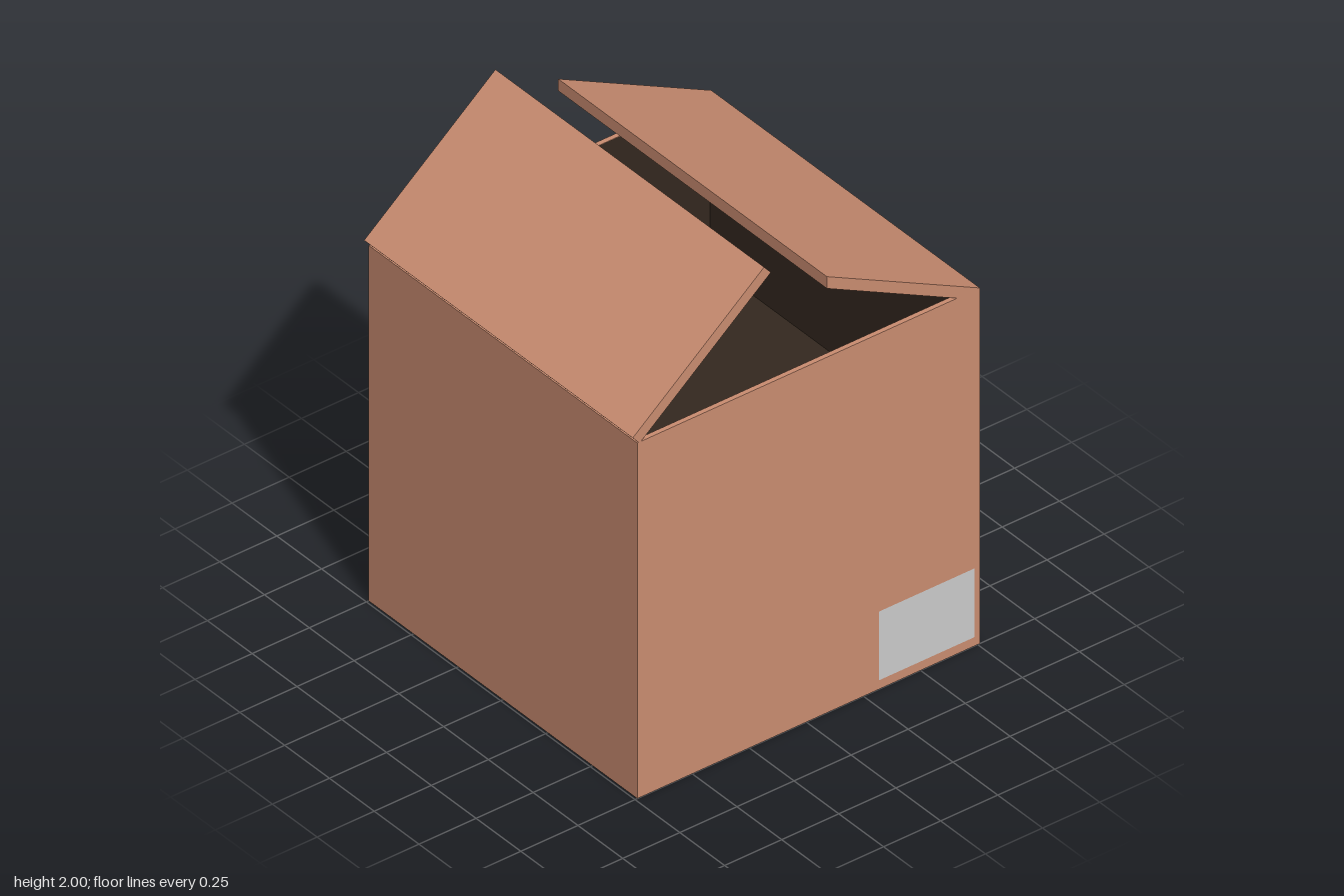
import * as THREE from 'three';

const cardboard = new THREE.MeshStandardMaterial({ color: 0xcb8d71 });
const darkInside = new THREE.MeshStandardMaterial({ color: 0x34281f, side: THREE.BackSide });
const darkPatch = new THREE.MeshStandardMaterial({ color: 0x664a40 });
const paper = new THREE.MeshStandardMaterial({ color: 0xcccccc });

const CX = 0.01, SIZE = 1.5, WALL = 0.02, FLOOR = 0.79;

function add(group, name, geometry, material, x = 0, y = 0, z = 0) {
  const mesh = new THREE.Mesh(geometry, material);
  mesh.name = name;
  mesh.position.set(x, y, z);
  group.add(mesh);
  return mesh;
}

const square = (s) => [[-s, -s], [s, -s], [s, s], [-s, s]].map(([x, y]) => new THREE.Vector2(x, y));

// Lid flap: a profile in the xy plane, run along the full depth of the box
function addFlap(group, name, points) {
  const shape = new THREE.Shape(points.map(([x, y]) => new THREE.Vector2(x, y)));
  const geometry = new THREE.ExtrudeGeometry(shape, { depth: SIZE, bevelEnabled: false });
  add(group, name, geometry, cardboard, 0, 0, -SIZE / 2);
}

// Flat sticker on the front (side = 1) or back (side = -1)
function addLabel(group, name, material, side, x0, x1, y0, y1) {
  const label = add(group, name, new THREE.PlaneGeometry(x1 - x0, y1 - y0), material,
    (x0 + x1) / 2, (y0 + y1) / 2, side * (SIZE / 2 + 0.003));
  if (side < 0) label.rotation.y = Math.PI;
}

export function createModel() {
  const box = new THREE.Group();
  box.name = 'openBox';
  const inner = SIZE - 2 * WALL;

  // Four walls as one square tube
  const ring = new THREE.Shape(square(SIZE / 2));
  ring.holes.push(new THREE.Path(square(inner / 2).reverse()));
  const walls = new THREE.ExtrudeGeometry(ring, { depth: SIZE, bevelEnabled: false });
  walls.rotateX(-Math.PI / 2);
  add(box, 'walls', walls, cardboard, CX);

  // Base filling the lower part
  add(box, 'base', new THREE.BoxGeometry(inner, FLOOR - 0.005, inner), cardboard, CX, (FLOOR - 0.005) / 2);

  // Dark lining seen from inside, without its top face
  const lining = new THREE.BoxGeometry(inner - 0.004, SIZE - FLOOR, inner - 0.004);
  lining.setIndex(Array.from(lining.index.array).filter((_, i) => i < 12 || i >= 18));
  lining.clearGroups();
  add(box, 'lining', lining, darkInside, CX, (SIZE + FLOOR) / 2);

  // Half-open lid
  addFlap(box, 'rightFlap', [[-0.76, 1.53], [-0.73, 1.495], [-0.155, 1.965], [-0.185, 2]]);
  addFlap(box, 'leftFlap', [[0.76, 1.5], [0.09, 1.84], [0.09, 1.79], [0.66, 1.5]]);

  // Labels
  addLabel(box, 'frontLabel', paper, 1, 0.315, 0.735, 0.04, 0.33);
  addLabel(box, 'backLabel', paper, -1, -0.43, -0.13, 0.08, 0.285);
  addLabel(box, 'backDarkLabel', darkPatch, -1, -0.67, -0.495, 0.07, 0.51);

  return box;
}
